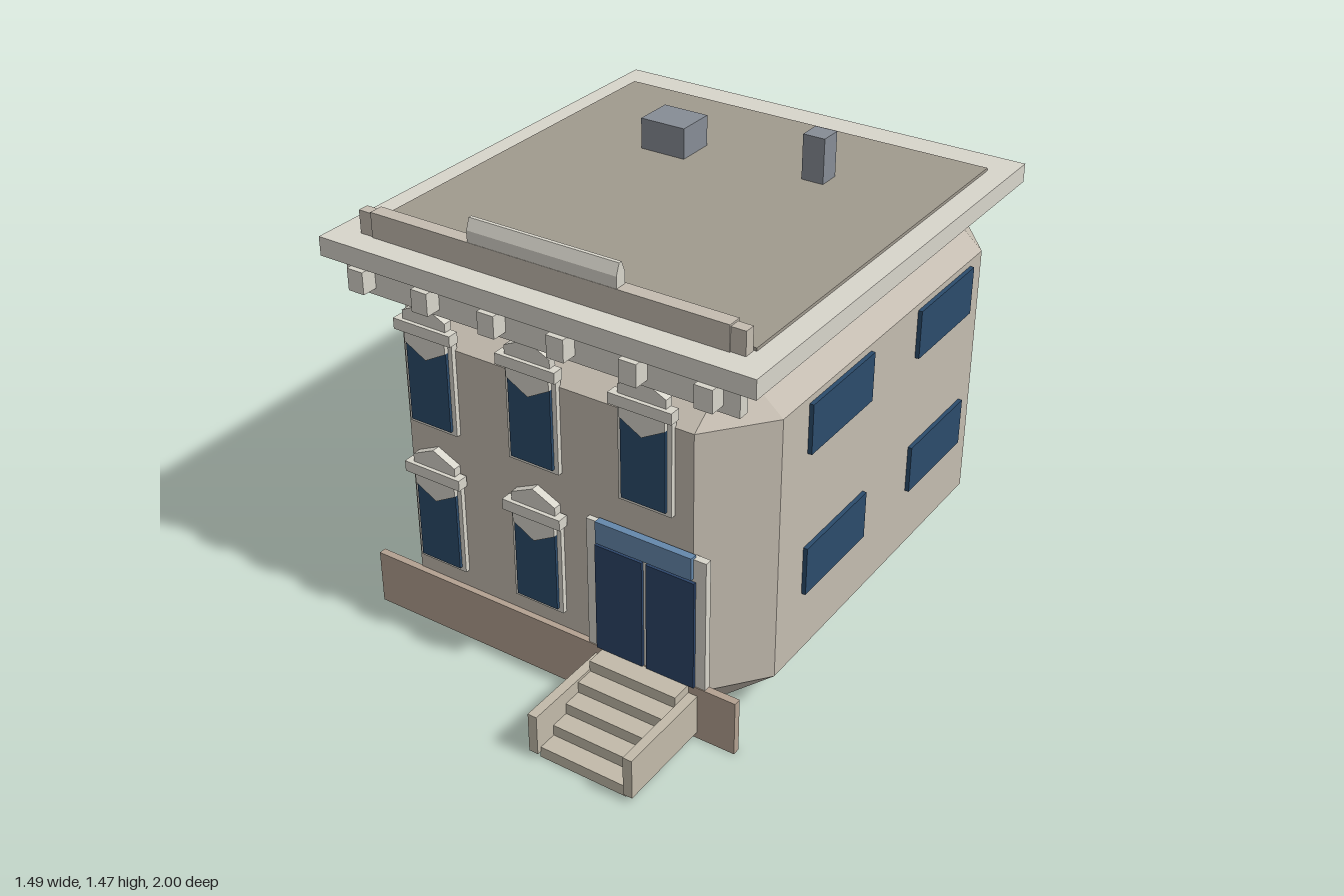
import * as THREE from 'three';
import { ConvexGeometry } from 'three/addons/geometries/ConvexGeometry.js';

const mat = (color) => new THREE.MeshStandardMaterial({ color, flatShading: true });

export function createModel() {
  const house = new THREE.Group();
  house.name = 'townhouse';

  const wall = mat(0xc4bcb0);
  const trim = mat(0xd8d5cb);
  const roofing = mat(0xa09a8e);
  const stone = mat(0xb3a191);
  const stair = mat(0xc2baa9);
  const glass = mat(0x2b4b6b);
  const doorBlue = mat(0x2c4468);
  const transomBlue = mat(0x6588ac);
  const chimneyGrey = mat(0x868c95);

  const add = (parent, name, geometry, material) => {
    const mesh = new THREE.Mesh(geometry, material);
    mesh.name = name;
    parent.add(mesh);
    return mesh;
  };

  // Box given by its limits on each axis
  const box = (parent, name, material, [x0, x1], [y0, y1], [z0, z1]) => {
    const mesh = add(parent, name, new THREE.BoxGeometry(x1 - x0, y1 - y0, z1 - z0), material);
    mesh.position.set((x0 + x1) / 2, (y0 + y1) / 2, (z0 + z1) / 2);
    return mesh;
  };

  // Flat outline in x and y, pushed out along z
  const plate = (parent, name, material, outline, z, depth) => {
    const shape = new THREE.Shape(outline.map(([x, y]) => new THREE.Vector2(x, y)));
    const mesh = add(parent, name, new THREE.ExtrudeGeometry(shape, { depth, bevelEnabled: false }), material);
    mesh.position.z = z;
    return mesh;
  };

  // Main block with wide chamfers on every edge
  const [X, Y, Z] = [0.672, 0.586, 0.822];
  const [x, y, z] = [0.512, 0.446, 0.622];
  const corners = [];
  for (const sx of [-1, 1]) for (const sy of [-1, 1]) for (const sz of [-1, 1]) {
    corners.push(
      new THREE.Vector3(sx * X, sy * y, sz * z),
      new THREE.Vector3(sx * x, sy * Y, sz * z),
      new THREE.Vector3(sx * x, sy * y, sz * Z));
  }
  add(house, 'walls', new ConvexGeometry(corners), wall).position.set(0, Y, -0.178);
  box(house, 'basePanel', stone, [-0.672, 0.672], [0, 0.187], [0.64, 0.665]);

  // Side windows
  for (const side of [-1, 1]) {
    for (const zMid of [0.12, -0.54]) for (const yMid of [0.437, 0.928]) {
      const pane = add(house, 'sideWindow', new THREE.BoxGeometry(0.026, 0.165, 0.36), glass);
      pane.position.set(side * 0.673, yMid, zMid);
    }
  }

  // Front windows: frame, pane, lintel, pointed hood and hanging crest
  const frontWindow = (px, py, height) => {
    const g = new THREE.Group();
    g.name = 'frontWindow';
    g.position.set(px, py, 0);
    box(g, 'windowFrame', trim, [-0.09, 0.09], [0, height], [0.636, 0.66]);
    box(g, 'windowPane', glass, [-0.075, 0.075], [0.015, height - 0.02], [0.655, 0.67]);
    box(g, 'windowLintel', trim, [-0.105, 0.105], [height, height + 0.036], [0.648, 0.685]);
    const top = height + 0.036;
    plate(g, 'windowHood', trim,
      [[-0.08, top], [0.08, top], [0.08, top + 0.028], [0, top + 0.066], [-0.08, top + 0.028]], 0.645, 0.027);
    plate(g, 'windowCrest', trim,
      [[-0.076, height], [-0.076, height - 0.037], [0, height - 0.08], [0.076, height - 0.037], [0.076, height]], 0.65, 0.025);
    house.add(g);
  };
  for (const px of [-0.405, -0.03, 0.36]) frontWindow(px, 0.745, 0.32);
  for (const px of [-0.405, -0.03]) frontWindow(px, 0.25, 0.32);

  // Entrance
  const entrance = new THREE.Group();
  entrance.name = 'entrance';
  house.add(entrance);
  box(entrance, 'doorFrame', trim, [0.155, 0.567], [0.185, 0.636], [0.638, 0.662]);
  box(entrance, 'leftDoor', doorBlue, [0.368, 0.533], [0.187, 0.56], [0.65, 0.672]);
  box(entrance, 'rightDoor', doorBlue, [0.19, 0.354], [0.187, 0.56], [0.65, 0.672]);
  box(entrance, 'transom', transomBlue, [0.195, 0.525], [0.57, 0.645], [0.65, 0.675]);

  // Steps between two side walls
  const steps = new THREE.Group();
  steps.name = 'frontSteps';
  house.add(steps);
  for (let i = 0; i < 5; i++) {
    const front = 0.985 - i * 0.0625;
    box(steps, 'step', stair, [0.208, 0.512], [i * 0.037, (i + 1) * 0.037], [front - 0.085, front]);
  }
  for (const px of [0.18, 0.512]) {
    box(steps, 'stepWall', stair, [px, px + 0.031], [0.021, 0.157], [0.66, 1]);
  }

  // Cornice and brackets
  box(house, 'corniceBeam', trim, [-0.68, 0.676], [1.155, 1.25], [0.642, 0.68]);
  for (let i = 0; i < 6; i++) {
    const px = -0.6 + i * 0.239;
    box(house, 'corniceBracket', trim, [px - 0.029, px + 0.029], [1.178, 1.25], [0.675, 0.733]);
  }

  // Roof
  box(house, 'roofSlab', trim, [-0.747, 0.744], [1.25, 1.312], [-0.91, 0.715]);
  box(house, 'roofSurface', roofing, [-0.672, 0.668], [1.305, 1.322], [-0.793, 0.59]);

  // Parapet with end blocks and a ridged centre cap
  box(house, 'parapet', wall, [-0.612, 0.612], [1.31, 1.393], [0.587, 0.634]);
  for (const side of [-1, 1]) {
    const end = add(house, 'parapetEnd', new THREE.BoxGeometry(0.055, 0.077, 0.036), wall);
    end.position.set(side * 0.632, 1.3485, 0.612);
  }
  const cap = plate(house, 'parapetCap', trim,
    [[-0.02, 1.385], [0.02, 1.385], [0.02, 1.43], [0.006, 1.465], [-0.006, 1.465], [-0.02, 1.43]], 0, 0.51);
  cap.rotation.y = Math.PI / 2;
  cap.position.set(-0.255, 0, 0.613);

  // Chimneys
  box(house, 'wideChimney', chimneyGrey, [-0.32, -0.158], [1.315, 1.425], [-0.458, -0.322]);
  box(house, 'tallChimney', chimneyGrey, [0.227, 0.303], [1.315, 1.472], [-0.473, -0.397]);

  return house;
}
